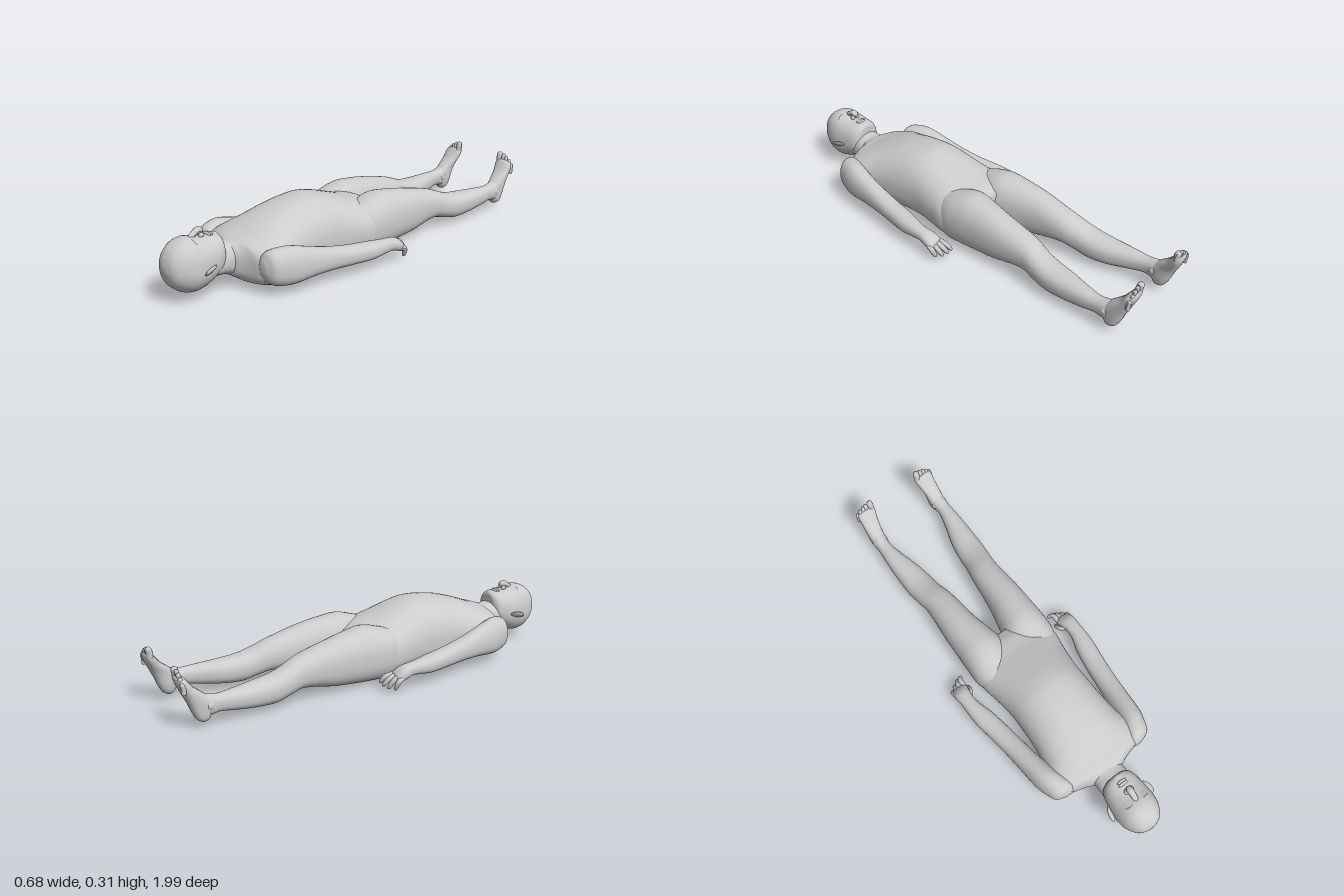
import * as THREE from 'three';

const skin = new THREE.MeshStandardMaterial({ color: 0xcccccc });
skin.name = 'skin grey';

function addMesh(parent, name, geometry) {
  const mesh = new THREE.Mesh(geometry, skin);
  mesh.name = name;
  parent.add(mesh);
  return mesh;
}

// Smooth interpolation between neighbouring sections, keyed on their first number
function sample(rows, k, t) {
  const slope = (i, c) => {
    const a = rows[Math.max(i - 1, 0)], b = rows[Math.min(i + 1, rows.length - 1)];
    return (b[c] - a[c]) / (b[0] - a[0]);
  };
  const p = rows[k], q = rows[k + 1], h = q[0] - p[0], t2 = t * t, t3 = t2 * t;
  return p.map((v, c) => c === 0 ? v + h * t :
    (2 * t3 - 3 * t2 + 1) * v + (t3 - 2 * t2 + t) * h * slope(k, c) +
    (3 * t2 - 2 * t3) * q[c] + (t3 - t2) * h * slope(k + 1, c));
}

// Loft of rounded sections [position, centreX, middle, low, high, halfWidth].
// Runs towards -z, or upwards along y when upright is true.
function loft(rows, { side = 1, upright = false, pTop = 0.9, pLow = 0.8, n = 40, sub = 5 } = {}) {
  const rings = [];
  for (let k = 0; k < rows.length - 1; k++)
    for (let s = 0; s < sub; s++) rings.push(sample(rows, k, s / sub));
  rings.push(rows[rows.length - 1]);
  const first = [...rings[0]], last = [...rings[rings.length - 1]];
  for (const cap of [first, last]) { cap[3] = cap[4] = cap[2]; cap[5] = 0; }
  rings.unshift(first);
  rings.push(last);

  const pos = [], index = [];
  const pow = (v, p) => Math.sign(v) * Math.abs(v) ** p;
  rings.forEach(([s, cx, mid, low, high, rx], i) => {
    for (let j = 0; j < n; j++) {
      const a = (j / n) * Math.PI * 2, sn = Math.sin(a), p = sn > 0 ? pTop : pLow;
      const x = side * cx + rx * pow(Math.cos(a), p);
      const v = mid + (sn > 0 ? high - mid : mid - low) * pow(sn, p);
      pos.push(x, upright ? s : v, upright ? v : s);
      if (i === rings.length - 1) continue;
      const A = i * n + j, B = i * n + (j + 1) % n;
      index.push(A, A + n, B, B, A + n, B + n);
    }
  });
  const g = new THREE.BufferGeometry();
  g.setAttribute('position', new THREE.Float32BufferAttribute(pos, 3));
  g.setIndex(index);
  g.computeVertexNormals();
  return g;
}

// Tapered tube with rounded ends, for fingers, toes and facial ridges
function digit(points, r0, r1, side = 1) {
  const curve = new THREE.CatmullRomCurve3(points.map(([x, y, z]) => new THREE.Vector3(x * side, y, z)));
  const n = 16, m = 10, g = new THREE.TubeGeometry(curve, n, 1, m, false);
  const p = g.attributes.position, v = new THREE.Vector3();
  for (let i = 0; i <= n; i++) {
    const t = i / n, c = curve.getPointAt(t);
    const end = Math.sqrt(Math.max(0, 1 - Math.max(0, (t - 0.75) / 0.25, (0.15 - t) / 0.15) ** 2));
    for (let j = 0; j <= m; j++) {
      const k = i * (m + 1) + j;
      v.fromBufferAttribute(p, k).sub(c).multiplyScalar((r0 + (r1 - r0) * t) * end).add(c);
      p.setXYZ(k, v.x, v.y, v.z);
    }
  }
  g.computeVertexNormals();
  return g;
}

function blob(parent, name, [x, y, z], [rx, ry, rz]) {
  const mesh = addMesh(parent, name, new THREE.SphereGeometry(1, 24, 16));
  mesh.position.set(x, y, z);
  mesh.scale.set(rx, ry, rz);
  return mesh;
}

function makeHead() {
  const head = new THREE.Group();
  head.name = 'head';
  head.position.x = -0.005;
  addMesh(head, 'skull', loft([
    [1.0, 0, 0.16, 0.145, 0.175, 0.014], [0.99, 0, 0.155, 0.108, 0.207, 0.045],
    [0.97, 0, 0.15, 0.077, 0.238, 0.067], [0.93, 0, 0.145, 0.048, 0.264, 0.088],
    [0.89, 0, 0.14, 0.038, 0.27, 0.095], [0.85, 0, 0.14, 0.043, 0.262, 0.095],
    [0.81, 0, 0.15, 0.057, 0.256, 0.09], [0.77, 0, 0.16, 0.08, 0.255, 0.082],
    [0.745, 0, 0.17, 0.1, 0.251, 0.068], [0.733, 0, 0.18, 0.13, 0.24, 0.045],
  ], { pTop: 0.85, pLow: 0.95 }));
  addMesh(head, 'neck', loft([
    [0.8, 0, 0.13, 0.075, 0.2, 0.07], [0.74, 0, 0.13, 0.072, 0.205, 0.075],
    [0.7, 0, 0.13, 0.056, 0.2, 0.074], [0.66, 0, 0.13, 0.035, 0.205, 0.08],
    [0.6, 0, 0.13, 0.03, 0.225, 0.09],
  ]));
  addMesh(head, 'nose', digit([[0, 0.25, 0.885], [0, 0.268, 0.855], [0, 0.282, 0.827], [0, 0.268, 0.81]], 0.011, 0.017));
  blob(head, 'upperLip', [0, 0.255, 0.785], [0.026, 0.009, 0.007]);
  blob(head, 'lowerLip', [0, 0.253, 0.773], [0.023, 0.009, 0.007]);
  blob(head, 'chin', [0, 0.239, 0.75], [0.03, 0.016, 0.016]);
  for (const s of [1, -1]) {
    blob(head, 'nostril', [s * 0.013, 0.262, 0.822], [0.01, 0.011, 0.012]);
    blob(head, 'eyelid', [s * 0.034, 0.247, 0.858], [0.018, 0.011, 0.01]);
    addMesh(head, 'brow', digit([[0.008, 0.258, 0.877], [0.035, 0.256, 0.883], [0.062, 0.238, 0.875]], 0.009, 0.008, s));
    const ear = blob(head, 'ear', [s * 0.1, 0.142, 0.845], [0.008, 0.021, 0.036]);
    ear.rotation.set(0.2, s * 0.25, s * -0.75);
  }
  return head;
}

function makeArm(side) {
  const arm = new THREE.Group();
  arm.name = side > 0 ? 'leftArm' : 'rightArm';
  addMesh(arm, 'armAndPalm', loft([
    [0.668, 0.195, 0.12, 0.1, 0.15, 0.02], [0.65, 0.205, 0.12, 0.062, 0.188, 0.05],
    [0.61, 0.217, 0.12, 0.045, 0.203, 0.058], [0.55, 0.234, 0.11, 0.042, 0.204, 0.057],
    [0.45, 0.25, 0.105, 0.052, 0.178, 0.05], [0.35, 0.262, 0.1, 0.053, 0.153, 0.047],
    [0.25, 0.275, 0.092, 0.05, 0.136, 0.047], [0.15, 0.291, 0.088, 0.05, 0.128, 0.045],
    [0.08, 0.302, 0.09, 0.06, 0.122, 0.035], [0.04, 0.304, 0.09, 0.062, 0.118, 0.033],
    [0, 0.303, 0.08, 0.05, 0.11, 0.037], [-0.03, 0.298, 0.064, 0.04, 0.088, 0.036],
    [-0.042, 0.296, 0.056, 0.042, 0.07, 0.026],
  ], { side, n: 28 }));
  const tips = [[0.314, 0.012, -0.045], [0.294, 0.017, -0.07], [0.273, 0.025, -0.083], [0.252, 0.034, -0.084]];
  tips.forEach(([x, y, z], i) => {
    const root = [0.326 - i * 0.018, 0.07, -0.005 - i * 0.004];
    const knuckle = [0.33 - i * 0.02, 0.055 + i * 0.004, -0.035 - i * 0.01];
    addMesh(arm, 'finger', digit([root, knuckle, [x, y, z]], 0.013, 0.0095, side));
  });
  addMesh(arm, 'thumb', digit([[0.287, 0.075, 0.03], [0.262, 0.06, 0.0], [0.255, 0.035, -0.03]], 0.016, 0.011, side));
  return arm;
}

function makeLeg(side) {
  const leg = new THREE.Group();
  leg.name = side > 0 ? 'leftLeg' : 'rightLeg';
  leg.position.x = -0.004;
  addMesh(leg, 'thighAndShin', loft([
    [0.12, 0.105, 0.12, 0.04, 0.2, 0.06], [0.02, 0.113, 0.12, 0.008, 0.235, 0.099],
    [-0.07, 0.111, 0.125, 0.007, 0.259, 0.106], [-0.15, 0.117, 0.125, 0.013, 0.253, 0.097],
    [-0.26, 0.127, 0.125, 0.026, 0.235, 0.083], [-0.42, 0.131, 0.12, 0.054, 0.196, 0.068],
    [-0.5, 0.143, 0.1, 0.04, 0.165, 0.065], [-0.56, 0.149, 0.09, 0.026, 0.148, 0.065],
    [-0.65, 0.157, 0.085, 0.03, 0.139, 0.058], [-0.75, 0.17, 0.09, 0.044, 0.133, 0.042],
    [-0.82, 0.175, 0.095, 0.055, 0.13, 0.032], [-0.87, 0.174, 0.095, 0.05, 0.139, 0.034],
    [-0.905, 0.172, 0.1, 0.07, 0.145, 0.028],
  ], { side }));
  addMesh(leg, 'foot', loft([
    [0.028, 0.174, -0.888, -0.9, -0.875, 0.014], [0.04, 0.174, -0.888, -0.917, -0.862, 0.027],
    [0.07, 0.173, -0.89, -0.934, -0.85, 0.034], [0.11, 0.173, -0.9, -0.95, -0.845, 0.036],
    [0.14, 0.172, -0.92, -0.964, -0.873, 0.037], [0.18, 0.167, -0.955, -0.982, -0.921, 0.042],
    [0.21, 0.163, -0.972, -0.993, -0.946, 0.045], [0.226, 0.158, -0.977, -0.994, -0.958, 0.037],
    [0.234, 0.15, -0.978, -0.99, -0.966, 0.024],
  ], { side, upright: true, n: 28 }));
  // Toes from big (inner) to little (outer)
  for (let i = 0; i < 5; i++) {
    const x = 0.133 + (i ? 0.006 : 0) + i * 0.0165, y = 0.267 - i * i * 0.0022 - i * 0.003, r = i ? 0.0105 : 0.0155;
    addMesh(leg, 'toe', digit([[x, y - 0.055, -0.976], [x, y - 0.025, -0.978], [x, y, -0.986]], r, r * 0.9, side));
  }
  for (const s of [1, -1]) blob(leg, 'ankleBone', [side * 0.174 + s * 0.027, 0.095, -0.865], [0.011, 0.017, 0.017]);
  return leg;
}

export function createModel() {
  const body = new THREE.Group();
  body.name = 'lyingFigure';
  addMesh(body, 'torso', loft([
    [0.705, 0, 0.12, 0.06, 0.195, 0.065], [0.68, 0, 0.11, 0.045, 0.203, 0.12],
    [0.66, 0, 0.11, 0.032, 0.21, 0.19], [0.62, 0, 0.11, 0.018, 0.222, 0.228],
    [0.57, 0, 0.11, 0.008, 0.242, 0.228], [0.5, 0, 0.115, 0.004, 0.268, 0.205],
    [0.4, 0, 0.125, 0.005, 0.296, 0.19], [0.27, 0, 0.13, 0.009, 0.312, 0.184],
    [0.2, 0, 0.125, 0.014, 0.302, 0.186], [0.11, 0, 0.115, 0.015, 0.274, 0.198],
    [0.02, 0, 0.115, 0.008, 0.245, 0.21], [-0.05, 0, 0.12, 0.02, 0.23, 0.18],
    [-0.1, 0, 0.13, 0.06, 0.205, 0.09],
  ], { n: 56, pTop: 0.92, pLow: 0.68 }));
  body.add(makeHead());
  for (const side of [1, -1]) body.add(makeArm(side), makeLeg(side));
  return body;
}
